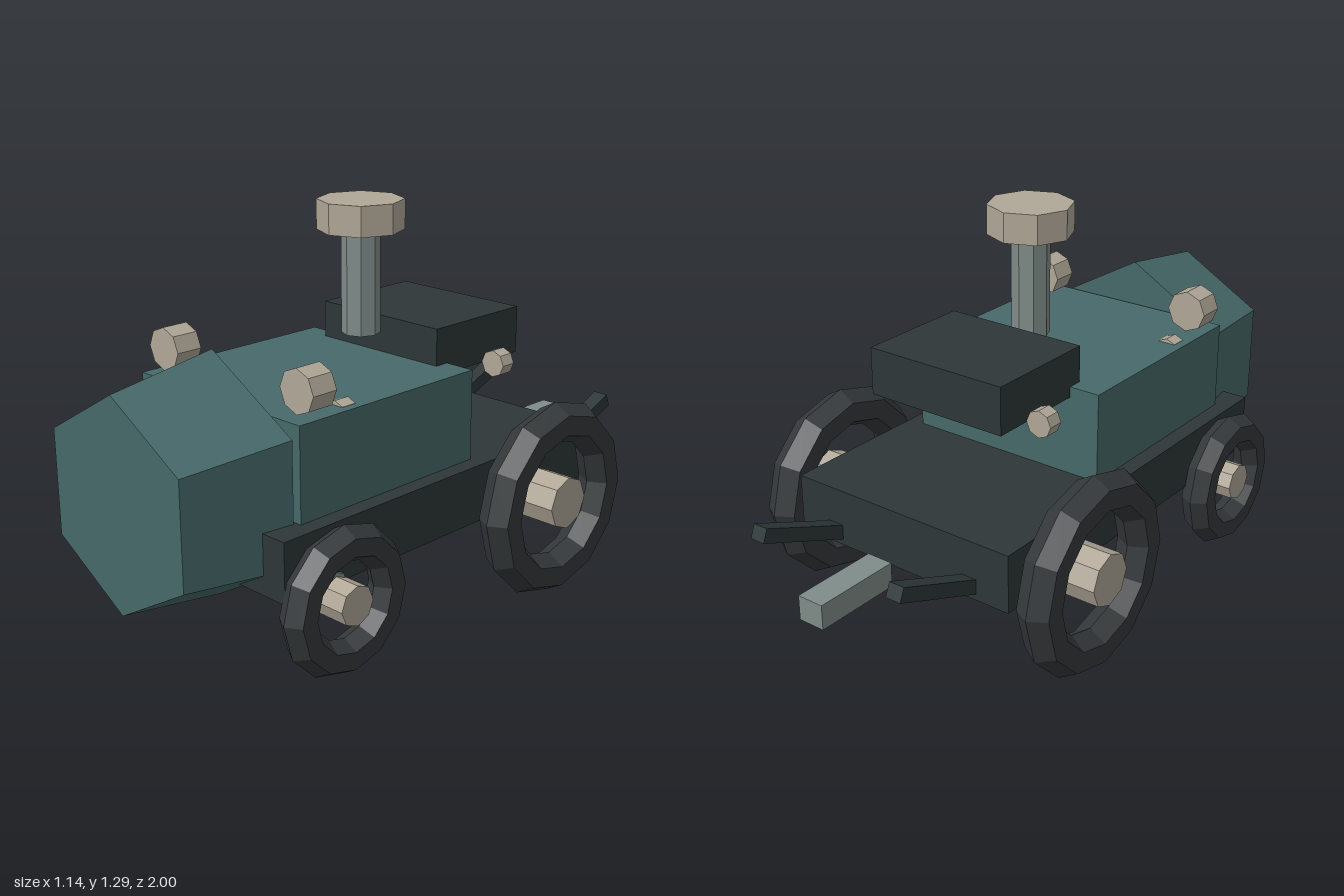
import * as THREE from 'three';

const paint = (color) => new THREE.MeshStandardMaterial({ color, flatShading: true });

export function createModel() {
  const model = new THREE.Group();
  model.name = 'tractor';
  const teal = paint(0x47696a), dark = paint(0x2e3638), rubber = paint(0x34383a);
  const cream = paint(0xb0a797), steel = paint(0x7f8c89);

  function add(name, geometry, material, x, y, z) {
    const mesh = new THREE.Mesh(geometry, material);
    mesh.name = name;
    mesh.position.set(x, y, z);
    model.add(mesh);
    return mesh;
  }
  // Box given by its width and its y and z extents, centred on x
  const block = (name, mat, w, y0, y1, z0, z1, x = 0) =>
    add(name, new THREE.BoxGeometry(w, y1 - y0, z1 - z0), mat, x, (y0 + y1) / 2, (z0 + z1) / 2);
  const alongZ = (r0, r1, len, sides = 8) => new THREE.CylinderGeometry(r0, r1, len, sides).rotateX(Math.PI / 2);
  const alongX = (r, len) => new THREE.CylinderGeometry(r, r, len, 8).rotateZ(Math.PI / 2);

  // Body
  block('chassis', dark, 0.82, 0.3, 0.49, -0.62, 0.745);
  block('hood', teal, 0.71, 0.48, 0.785, -0.1, 0.63);
  block('seat', dark, 0.5, 0.75, 0.905, -0.445, -0.05);
  block('hitch', steel, 0.09, 0.3, 0.38, -1, -0.71);
  add('nose', alongZ(0.333, 0.388, 0.36, 6), teal, 0, 0.547, 0.82);

  // Exhaust stack with its wide cap
  add('exhaustPipe', new THREE.CylinderGeometry(0.062, 0.062, 0.335, 8), steel, 0, 1.032, 0.032);
  add('exhaustCap', new THREE.CylinderGeometry(0.138, 0.138, 0.096, 8), cream, 0, 1.244, 0.032);

  // Axles
  add('frontAxle', alongX(0.04, 0.84), steel, 0, 0.3, 0.555);
  add('rearAxle', alongX(0.03, 0.9), steel, 0, 0.335, -0.335);

  for (const [side, s] of [['left', 1], ['right', -1]]) {
    // Wheels: twelve-sided tyre with a six-sided section, and a hub
    for (const [end, x, y, z, R, r, hubX, hubR, hubLen] of [
      ['Front', 0.45, 0.264, 0.555, 0.177, 0.056, 0.446, 0.063, 0.117],
      ['Rear', 0.502, 0.332, -0.336, 0.26, 0.066, 0.502, 0.087, 0.136],
    ]) {
      add(side + end + 'Tyre', new THREE.TorusGeometry(R, r, 6, 12).rotateY(Math.PI / 2), rubber, s * x, y, z);
      add(side + end + 'Hub', alongX(hubR, hubLen), cream, s * hubX, y, z);
    }
    // Lamps
    add(side + 'Headlamp', alongZ(0.069, 0.069, 0.09), cream, s * 0.298, 0.861, 0.542);
    add(side + 'FrontMarker', alongZ(0.044, 0.044, 0.053), cream, s * 0.295, 0.755, 0.41);
    add(side + 'RearMarker', alongZ(0.044, 0.044, 0.053), cream, s * 0.295, 0.755, -0.297);
    // Lift arm rising to the rear
    const arm = add(side + 'LiftArm', new THREE.BoxGeometry(0.053, 0.046, 0.365), dark, s * 0.265, 0.405, -0.766);
    arm.rotation.x = 0.39;
  }
  return model;
}
